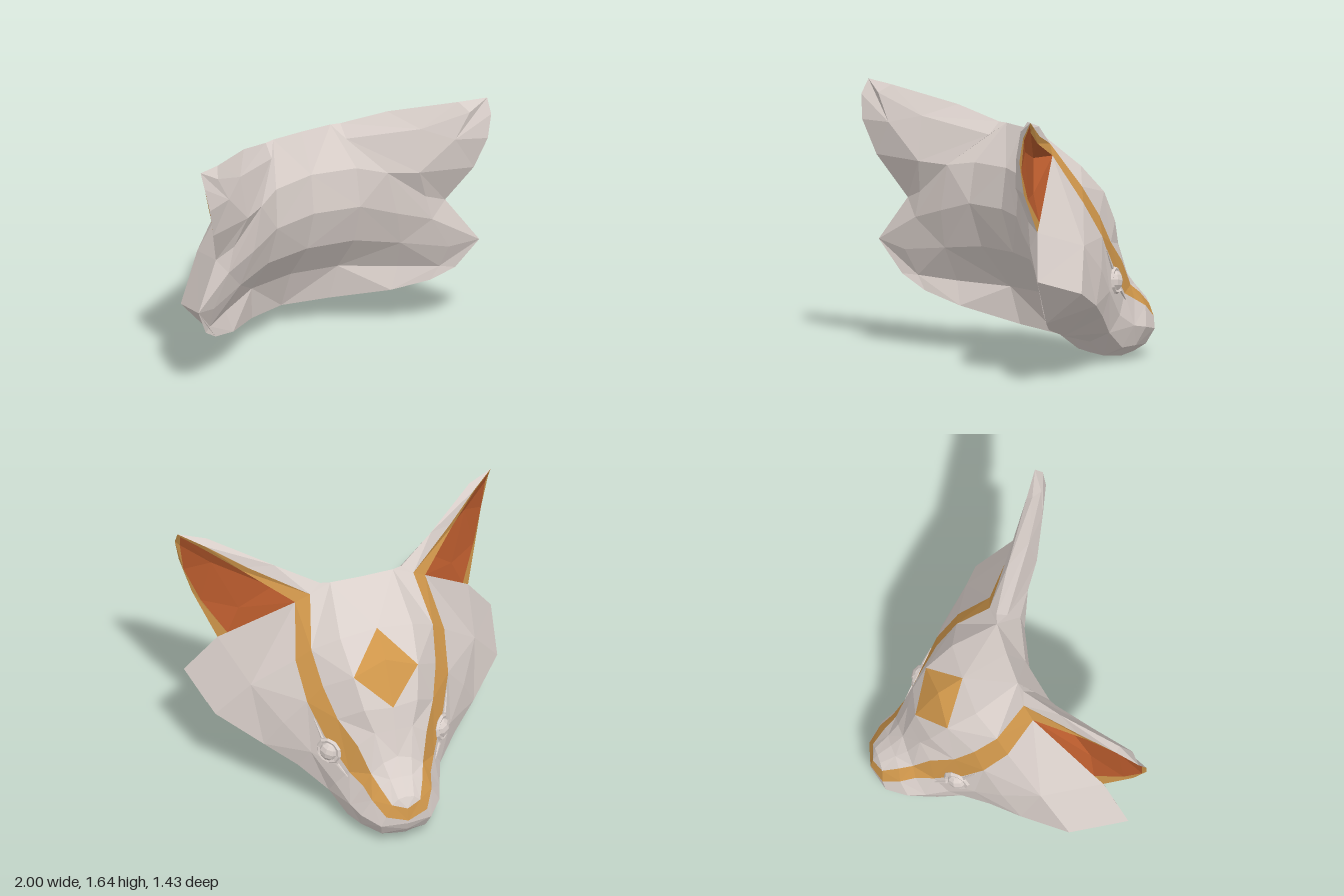
import * as THREE from 'three';

const ivory = new THREE.MeshStandardMaterial({ color: 0xd9cfca });
ivory.name = 'ivory';
const gold = new THREE.MeshStandardMaterial({ color: 0xd0974b });
gold.name = 'gold';
const rust = new THREE.MeshStandardMaterial({ color: 0xb95b2d });
rust.name = 'rust';

// Collects triangles together with their mirror images; the result is faceted.
class Facets {
  constructor() { this.pos = []; }
  tri(a, b, c) {
    const flip = ([x, y, z]) => [-x, y, z];
    this.pos.push(...a, ...b, ...c, ...flip(a), ...flip(c), ...flip(b));
  }
  quad(a, b, c, d, other) {
    if (other) { this.tri(a, b, d); this.tri(b, c, d); }
    else { this.tri(a, b, c); this.tri(a, c, d); }
  }
  // Skin between successive rows of equal length
  skin(rows) {
    for (let r = 0; r + 1 < rows.length; r++)
      for (let c = 0; c + 1 < rows[r].length; c++)
        this.quad(rows[r][c], rows[r + 1][c], rows[r + 1][c + 1], rows[r][c + 1], (r + c) % 2 === 0);
  }
  mesh(name, material) {
    const g = new THREE.BufferGeometry();
    g.setAttribute('position', new THREE.Float32BufferAttribute(this.pos, 3));
    g.computeVertexNormals();
    const m = new THREE.Mesh(g, material);
    m.name = name;
    return m;
  }
}

// Lengthwise lines of the left half, each from nose tip to rear rim
const crown = [[0, .29, -.70], [0, .36, -.67], [0, .45, -.585], [0, .55, -.51], [0, .72, -.465],
  [0, .86, -.43], [0, 1.12, -.285], [0, 1.25, -.13], [0, 1.44, .15]];
const brow = [[0, .29, -.70], [.05, .35, -.67], [.07, .44, -.58], [.09, .52, -.51], [.12, .7, -.44],
  [.17, .85, -.39], [.205, 1.04, -.295], [.23, 1.215, -.12], [.2, 1.44, .155]];
const stripeTop = [[0, .29, -.70], [.09, .315, -.67], [.135, .395, -.58], [.165, .45, -.5], [.22, .61, -.41],
  [.305, .745, -.285], [.36, .925, -.175], [.388, 1.115, -.04], [.33, 1.385, .15]];
const stripeLow = [[0, .21, -.715], [.13, .24, -.68], [.19, .32, -.59], [.215, .37, -.5], [.27, .42, -.4],
  [.38, .62, -.25], [.45, .81, -.145], [.475, 1.03, 0], [.415, 1.325, .18]];
const side = [[0, .19, -.715], [.16, .17, -.67], [.25, .2, -.56], [.285, .22, -.46], [.335, .3, -.33],
  [.445, .47, -.2], [.575, .63, -.07], [.715, .81, .13], [.8, .93, .5]];
const cheek = [[0, .13, -.69], [.14, .08, -.62], [.23, .09, -.5], [.275, .09, -.38], [.35, .2, -.25],
  [.5, .33, -.12], [.67, .43, .02], [.9, .55, .25], [.98, .66, .6]];
const jaw = [[0, .08, -.65], [.08, .03, -.57], [.13, .015, -.45], [.16, .03, -.32], [.2, .13, -.2],
  [.27, .19, .02], [.55, .285, .28], [.75, .36, .41], [.87, .455, .5]];
const chin = [[0, .08, -.65], [0, .03, -.57], [0, 0, -.43], [0, .03, -.31], [0, .13, -.2], [0, .16, -.09]];

// Where the back of the ear grows out of the head
const earBackTop = [.26, 1.365, .24], earBackLow = [.6, 1.18, .54];

function buildHead(group) {
  const head = new Facets(), stripes = new Facets(), diamond = new Facets();
  const lines = [crown, brow, stripeTop, stripeLow, side, cheek, jaw, chin];
  for (let c = 0; c < 7; c++) {
    const p = lines[c], q = lines[c + 1];
    for (let r = 0; r + 1 < q.length; r++) {
      const [a, b, d, e] = [p[r], p[r + 1], q[r + 1], q[r]];
      if (c === 2) stripes.quad(a, b, d, e, r % 2 === 0);
      else if (c === 0 && r === 5) { diamond.tri(a, b, d); head.tri(a, d, e); }
      else if (c === 0 && r === 6) { diamond.tri(a, b, e); head.tri(b, d, e); }
      else head.quad(a, b, d, e, (r + c) % 2 === 0);
    }
  }
  // Hollowed back of the head, from the crown down to the lip under the jaw
  head.skin([
    [crown[8], brow[8], earBackTop, earBackLow, side[8]],
    [[0, 1.2, .27], [.28, 1.2, .33], [.44, 1.17, .43], [.67, .98, .49], side[8]],
    [[0, .95, .3], [.29, .95, .36], [.5, .885, .44], [.71, .82, .5], cheek[8]],
    [[0, .68, .22], [.3, .68, .27], [.56, .645, .38], [.82, .61, .51], cheek[8]],
    [[0, .42, .02], [.3, .42, .07], [.6, .43, .27], [.8, .45, .43], jaw[8]],
    [chin[5], jaw[5], jaw[6], jaw[7], jaw[8]],
  ]);
  group.add(head.mesh('head', ivory), stripes.mesh('faceStripes', gold), diamond.mesh('foreheadDiamond', gold));
}

function buildEars(group) {
  const shell = new Facets(), rim = new Facets(), lining = new Facets();
  const tip = [1, 1.64, .66];
  const edge = [stripeTop[8], [.65, 1.49, .4], [.86, 1.585, .56], tip, [1, 1.55, .71],
    [.97, 1.4, .72], [.91, 1.19, .655], side[8]];
  const inner = [stripeLow[8], [.67, 1.45, .425], [.87, 1.555, .585], [.985, 1.62, .655], [.975, 1.53, .69],
    [.95, 1.34, .695], [.87, 1.15, .605], [.752, .981, .458]];
  rim.skin([inner, edge]);

  // Hollow inside of the ear: sloping walls and a floor
  const d1 = [.5, 1.335, .36], d2 = [.81, 1.43, .59], d3 = [.68, 1.15, .46];
  lining.skin([[d1, d1, d2, d2, d2, d2, d3, d3, d1], [...inner, inner[0]]]);
  lining.tri(d1, d2, d3);

  // Outer shell: a crest along the top, then the back of the ear
  const m0 = [.26, 1.44, .17], m1 = [.5, 1.525, .32], m2 = [.84, 1.62, .59];
  const k1 = [.63, 1.45, .5], k2 = [.88, 1.57, .66], low = [.79, 1.4, .64];
  shell.skin([[brow[8], ...edge.slice(0, 4)], [m0, m0, m1, m2, tip]]);
  shell.skin([[brow[8], m0, m1, m2, tip], [earBackTop, earBackTop, k1, k2, tip]]);
  shell.skin([[earBackTop, k1, k2, tip], [earBackLow, earBackLow, low, low]]);
  shell.skin([edge.slice(3), [low, low, low, earBackLow, earBackLow]]);
  group.add(shell.mesh('earShells', ivory), rim.mesh('earRims', gold), lining.mesh('earLinings', rust));
}

// Thin tapering crease between two points
function crease(name, from, to) {
  const a = new THREE.Vector3(...from), b = new THREE.Vector3(...to);
  const dir = b.clone().sub(a);
  const g = new THREE.CylinderGeometry(.003, .01, dir.length(), 5).toNonIndexed();
  g.computeVertexNormals();
  const m = new THREE.Mesh(g, ivory);
  m.name = name;
  m.position.copy(a).add(b).multiplyScalar(.5);
  m.quaternion.setFromUnitVectors(new THREE.Vector3(0, 1, 0), dir.normalize());
  return m;
}

function buildEye(s) {
  const eye = new THREE.Group();
  eye.name = s > 0 ? 'leftEye' : 'rightEye';
  const socket = new THREE.Group();
  socket.name = 'eyeSocket';
  socket.position.set(s * .36, .52, -.285);
  socket.quaternion.setFromUnitVectors(new THREE.Vector3(0, 0, 1),
    new THREE.Vector3(s * .74, .09, -.67).normalize());
  const parts = [['eyeball', new THREE.SphereGeometry(.062, 8, 6).scale(1, 1, .75)],
    ['eyelid', new THREE.TorusGeometry(.07, .016, 5, 10)]];
  for (const [name, geo] of parts) {
    const g = geo.toNonIndexed();
    g.computeVertexNormals();
    const m = new THREE.Mesh(g, ivory);
    m.name = name;
    socket.add(m);
  }
  eye.add(socket,
    crease('browCrease', [s * .39, .6, -.25], [s * .425, .72, -.19]),
    crease('tearCrease', [s * .325, .45, -.34], [s * .28, .385, -.4]));
  return eye;
}

export function createModel() {
  const model = new THREE.Group();
  model.name = 'animalHead';
  buildHead(model);
  buildEars(model);
  model.add(buildEye(1), buildEye(-1));
  return model;
}
